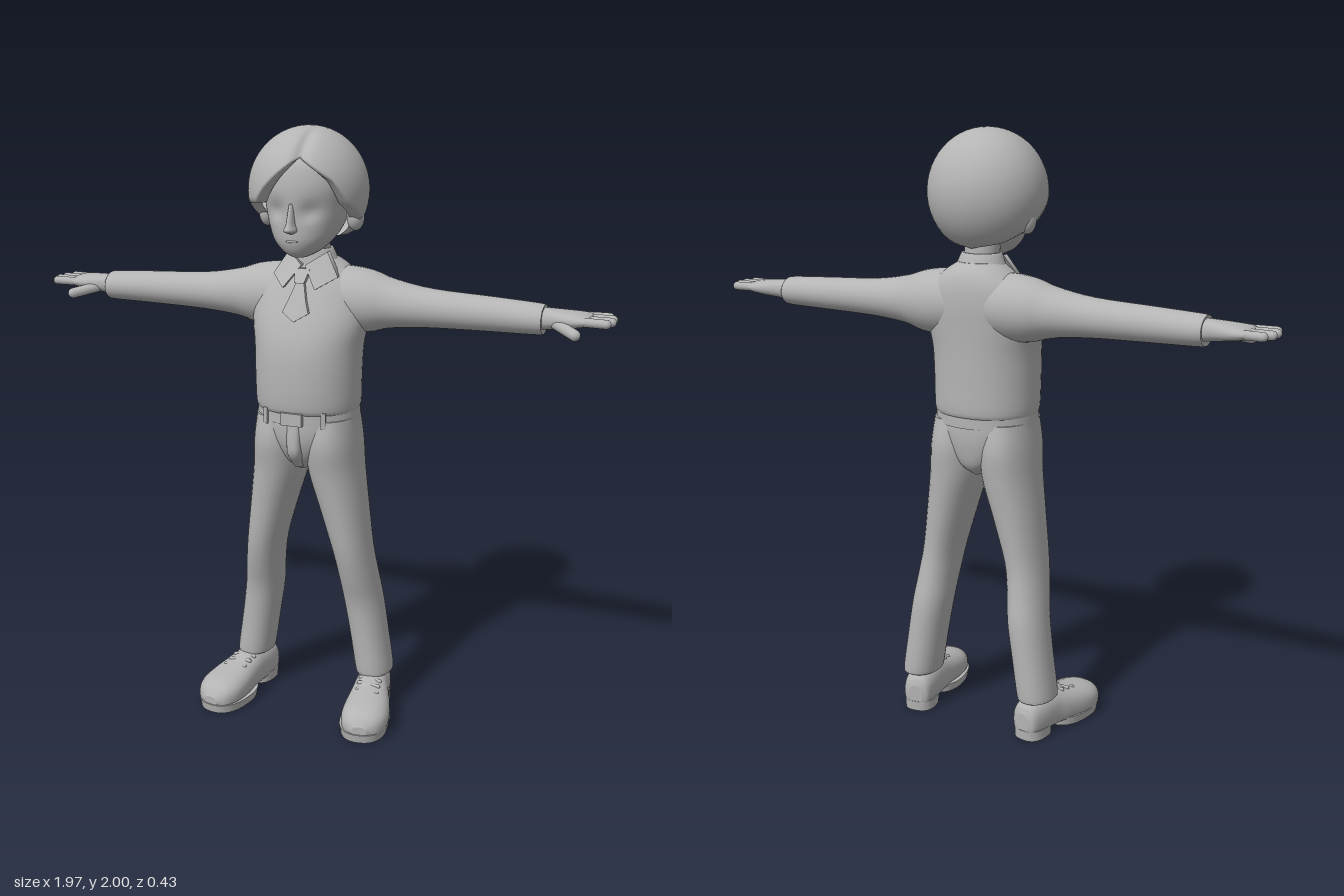
import * as THREE from 'three';

const V = (x, y, z) => new THREE.Vector3(x, y, z);
const lerp = THREE.MathUtils.lerp;

// Look up a row of a table whose first column ascends
function sample(table, t) {
  let i = 0;
  while (i < table.length - 2 && t > table[i + 1][0]) i++;
  const a = table[i], b = table[i + 1];
  const k = THREE.MathUtils.clamp((t - a[0]) / (b[0] - a[0]), 0, 1);
  return a.map((v, c) => lerp(v, b[c], k));
}

// Skin a list of closed rings of points
function skin(rings, caps = true) {
  const n = rings[0].length, pos = [], idx = [];
  for (const r of rings) for (const p of r) pos.push(p.x, p.y, p.z);
  for (let i = 0; i < rings.length - 1; i++) for (let j = 0; j < n; j++) {
    const a = i * n + j, c = i * n + (j + 1) % n;
    idx.push(a, a + n, c, a + n, c + n, c);
  }
  if (caps) [rings[0], rings[rings.length - 1]].forEach((ring, end) => {
    const base = pos.length / 3, mid = V(0, 0, 0);
    for (const p of ring) { pos.push(p.x, p.y, p.z); mid.addScaledVector(p, 1 / n); }
    pos.push(mid.x, mid.y, mid.z);
    for (let j = 0; j < n; j++) {
      const p = base + j, q = base + (j + 1) % n;
      if (end) idx.push(base + n, q, p); else idx.push(base + n, p, q);
    }
  });
  const g = new THREE.BufferGeometry();
  g.setAttribute('position', new THREE.Float32BufferAttribute(pos, 3));
  g.setIndex(idx);
  g.computeVertexNormals();
  return g;
}

// Loft rounded sections [t, centreU, centreV, radiusU, radiusV] along an axis
const PLACE = { y: (t, u, v) => V(u, t, v), x: (t, u, v) => V(t, v, u), z: (t, u, v) => V(v, u, t) };
function loft(axis, secs, power = 2, n = 32, rule = null) {
  const curves = [0, 1, 2, 3, 4].map(c => new THREE.CatmullRomCurve3(secs.map((s, i) => V(i, s[c], 0)), false, 'catmullrom', 0.5));
  const steps = (secs.length - 1) * 4, rings = [];
  for (let i = 0; i <= steps; i++) {
    const [t, cu, cv, ru, rv] = curves.map(c => c.getPoint(i / steps).y);
    rings.push(Array.from({ length: n }, (_, j) => {
      const a = j / n * Math.PI * 2, e = 2 / power;
      const f = w => Math.sign(w) * Math.abs(w) ** e;
      const p = PLACE[axis](t, cu + ru * f(Math.cos(a)), cv + rv * f(Math.sin(a)));
      if (rule) rule(p);
      return p;
    }));
  }
  return skin(rings);
}

function limb(a, b, r) {
  const d = b.clone().sub(a), g = new THREE.CapsuleGeometry(r, d.length(), 6, 12);
  g.applyQuaternion(new THREE.Quaternion().setFromUnitVectors(V(0, 1, 0), d.normalize()));
  const m = a.clone().lerp(b, 0.5);
  return g.translate(m.x, m.y, m.z);
}

function ball(x, y, z, rx, ry, rz) {
  return new THREE.SphereGeometry(1, 24, 16).scale(rx, ry, rz).translate(x, y, z);
}

function mirrored(g) {
  const m = (g.index ? g.toNonIndexed() : g.clone()).scale(-1, 1, 1);
  m.setIndex(Array.from({ length: m.attributes.position.count }, (_, i) => i - i % 3 + [0, 2, 1][i % 3]));
  return m;
}

// Sweater body: height, centre x, centre z, half width, half depth
const TORSO = [
  [1.085, 0, -0.025, 0.163, 0.138], [1.105, 0, -0.023, 0.175, 0.153], [1.2, 0, -0.021, 0.178, 0.156],
  [1.3, 0, -0.025, 0.182, 0.153], [1.38, 0, -0.038, 0.195, 0.143], [1.45, 0, -0.055, 0.19, 0.129],
  [1.51, 0, -0.068, 0.165, 0.112], [1.555, 0, -0.075, 0.115, 0.09], [1.585, 0, -0.068, 0.07, 0.068],
];
function chestZ(x, y) {
  const [, , cz, rx, rz] = sample(TORSO, y);
  return cz + rz * Math.sqrt(Math.max(0, 1 - (x / rx) ** 2));
}

// Lower edge of the hair by azimuth in degrees, 0 at the front
const HAIR_EDGE = [
  [-180, 1.63], [-130, 1.65], [-105, 1.68], [-85, 1.72], [-70, 1.76], [-50, 1.765], [-35, 1.77], [-25, 1.81],
  [-10, 1.86], [5, 1.9], [12, 1.915], [25, 1.885], [45, 1.84], [60, 1.77], [80, 1.73], [105, 1.68], [130, 1.65], [180, 1.63],
];
function hairGeometry() {
  const cols = 90, rows = 20, rings = [];
  for (let i = 0; i <= rows + 1; i++) rings.push(Array.from({ length: cols }, (_, j) => {
    const deg = j / cols * 360 - 180, a = deg * Math.PI / 180, inner = i > rows;
    const end = Math.acos((sample(HAIR_EDGE, deg)[1] - 1.8) / 0.2);
    const p = Math.max(0.001, end * Math.min(i / rows, 1)), s = Math.sin(p);
    const depth = Math.cos(a) > 0 ? 0.208 : 0.185;
    const x = 0.193 * s * Math.sin(a), z = depth * s * Math.cos(a);
    // parting groove running over the front of the crown
    const groove = 1 - 0.1 * Math.exp(-(((x - 0.035) / 0.018) ** 2)) * THREE.MathUtils.smoothstep(z, -0.03, 0.12);
    const k = groove * (inner ? 0.8 : 1);
    return V(x * k, 1.8 + 0.2 * Math.cos(p) * (inner ? 1 : lerp(1, groove, 0.4)), z * k - 0.025);
  }));
  return skin(rings, false);
}

export function createModel() {
  const model = new THREE.Group();
  const grey = new THREE.MeshStandardMaterial({ color: 0xb4b4b4, side: THREE.DoubleSide });
  grey.name = 'plain grey';
  const add = (name, g) => {
    const mesh = new THREE.Mesh(g, grey);
    mesh.name = name;
    model.add(mesh);
  };
  const pair = (name, g) => { add(name + 'Left', g); add(name + 'Right', mirrored(g)); };

  // Head with eye hollows
  add('face', loft('y', [
    [1.598, 0, 0.05, 0.025, 0.035], [1.615, 0, 0.038, 0.058, 0.07], [1.65, 0, 0.018, 0.094, 0.105],
    [1.7, 0, -0.008, 0.12, 0.134], [1.76, 0, -0.018, 0.135, 0.147], [1.83, 0, -0.02, 0.148, 0.15],
    [1.9, 0, -0.02, 0.125, 0.13], [1.95, 0, -0.02, 0.06, 0.07],
  ], 2, 64, p => {
    if (p.z > 0) p.z -= 0.016 * Math.exp(-(((Math.abs(p.x) - 0.055) / 0.03) ** 2) - ((p.y - 1.745) / 0.025) ** 2);
  }));
  add('nose', loft('y', [
    [1.676, 0, 0.115, 0.006, 0.012], [1.688, 0, 0.125, 0.02, 0.038], [1.71, 0, 0.122, 0.014, 0.032],
    [1.77, 0, 0.115, 0.008, 0.018],
  ], 2, 16));
  add('mouth', ball(0, 1.653, 0.113, 0.028, 0.006, 0.013));
  pair('ear', ball(0.152, 1.718, -0.04, 0.028, 0.043, 0.032));
  add('hair', hairGeometry());
  add('neck', loft('y', [[1.53, 0, -0.06, 0.06, 0.06], [1.6, 0, -0.058, 0.056, 0.058], [1.68, 0, -0.05, 0.06, 0.06]]));

  // Sweater, collar and tie
  add('sweaterBody', loft('y', TORSO, 2.15, 48));
  pair('sleeve', loft('x', [
    [0.03, -0.072, 1.45, 0.1, 0.1], [0.12, -0.074, 1.447, 0.106, 0.109], [0.2, -0.075, 1.445, 0.099, 0.1],
    [0.27, -0.073, 1.443, 0.082, 0.08], [0.4, -0.07, 1.438, 0.064, 0.063], [0.6, -0.07, 1.435, 0.058, 0.055],
    [0.75, -0.068, 1.432, 0.057, 0.049], [0.764, -0.068, 1.432, 0.05, 0.043],
  ]));
  add('collarBand', loft('y', [[1.535, 0, -0.07, 0.1, 0.083], [1.575, 0, -0.064, 0.082, 0.072], [1.61, 0, -0.06, 0.067, 0.062], [1.613, 0, -0.06, 0.058, 0.056]]));
  const flapRing = d => [V(0.006, 1.565, 0.026 + d), V(0.055, 1.495, 0.066 + d), V(0.112, 1.53, 0.006 + d), V(0.066, 1.605, -0.018 + d)];
  pair('collarFlap', skin([flapRing(0.004), flapRing(-0.02)].reverse()).toNonIndexed());
  const drape = pts => {
    const g = new THREE.ExtrudeGeometry(new THREE.Shape(pts.map(p => new THREE.Vector2(...p))), { depth: 0.02, bevelEnabled: false });
    const p = g.attributes.position;
    for (let i = 0; i < p.count; i++) p.setZ(i, p.getZ(i) + chestZ(p.getX(i), p.getY(i)) - 0.006);
    g.computeVertexNormals();
    return g;
  };
  add('tieKnot', drape([[-0.016, 1.512], [0.016, 1.512], [0.026, 1.555], [-0.026, 1.555]]).translate(0, 0, 0.008));
  add('tieBlade', drape([[0, 1.395], [0.045, 1.422], [0.03, 1.46], [0.012, 1.518], [-0.012, 1.518], [-0.03, 1.46], [-0.045, 1.422]]));

  // Hands
  pair('palm', loft('x', [
    [0.74, -0.07, 1.434, 0.042, 0.036], [0.79, -0.07, 1.436, 0.046, 0.032], [0.85, -0.074, 1.438, 0.062, 0.026],
    [0.89, -0.076, 1.44, 0.066, 0.02], [0.91, -0.076, 1.44, 0.06, 0.012],
  ], 2.3, 24));
  [[-0.129, 0.953], [-0.094, 0.969], [-0.057, 0.971], [-0.022, 0.961]].forEach(([z, tip], i) =>
    pair('finger' + (i + 1), limb(V(0.875, 1.441, lerp(z, -0.075, 0.1)), V(tip, 1.441, z), 0.0145)));
  pair('thumb', limb(V(0.8, 1.428, -0.045), V(0.875, 1.408, 0.016), 0.018));

  // Trousers
  add('hips', loft('y', [
    [0.885, 0, -0.03, 0.02, 0.075], [0.92, 0, -0.03, 0.075, 0.115], [0.98, 0, -0.025, 0.14, 0.136],
    [1.04, 0, -0.024, 0.169, 0.142], [1.11, 0, -0.024, 0.167, 0.138],
  ], 2.2, 40));
  pair('trouserLeg', loft('y', [
    [0.135, 0.226, -0.082, 0.056, 0.076], [0.145, 0.226, -0.082, 0.063, 0.083], [0.27, 0.207, -0.08, 0.064, 0.083],
    [0.4, 0.187, -0.073, 0.065, 0.087], [0.5, 0.174, -0.052, 0.063, 0.093], [0.6, 0.158, -0.036, 0.064, 0.1],
    [0.75, 0.127, -0.032, 0.077, 0.114], [0.88, 0.1, -0.03, 0.089, 0.128], [0.98, 0.093, -0.026, 0.088, 0.139],
    [1.07, 0.09, -0.024, 0.08, 0.125],
  ], 2.15));
  add('belt', loft('y', [[1.055, 0, -0.024, 0.173, 0.146], [1.095, 0, -0.024, 0.172, 0.146]], 2.15, 48));
  add('buckle', new THREE.BoxGeometry(0.075, 0.042, 0.02).translate(0, 1.077, 0.126));
  pair('beltLoop', new THREE.BoxGeometry(0.016, 0.055, 0.016).rotateY(0.35).translate(0.1, 1.075, 0.1));
  add('fly', loft('y', [[0.9, 0, 0.05, 0.015, 0.03], [0.95, 0, 0.08, 0.025, 0.042], [1.0, 0, 0.09, 0.026, 0.037], [1.055, 0, 0.09, 0.026, 0.033]], 3, 24));

  // Shoes, turned slightly outward about the ankle
  const shoe = (name, g) => pair(name, g.rotateY(0.17).translate(0.226, 0, -0.082));
  shoe('shoeUpper', loft('z', [
    [-0.084, 0.06, 0, 0.035, 0.025], [-0.07, 0.065, 0, 0.06, 0.046], [-0.02, 0.07, 0, 0.07, 0.056],
    [0.05, 0.07, 0, 0.072, 0.06], [0.1, 0.065, 0.003, 0.066, 0.068], [0.17, 0.055, 0.005, 0.062, 0.079],
    [0.23, 0.05, 0.005, 0.056, 0.079], [0.275, 0.045, 0.003, 0.044, 0.06], [0.298, 0.042, 0, 0.016, 0.025],
  ], 2.4, 32, p => { p.y = Math.max(p.y, 0.024); }));
  shoe('shoeSole', loft('y', [[0, 0, 0.183, 0.079, 0.115], [0.03, 0, 0.183, 0.084, 0.12]], 2.4));
  shoe('shoeHeel', loft('y', [[0, 0, -0.022, 0.053, 0.062], [0.035, 0, -0.022, 0.054, 0.064]], 2.6));
  shoe('shoeTongue', loft('z', [[0.04, 0.12, 0, 0.022, 0.036], [0.09, 0.118, 0, 0.018, 0.036], [0.15, 0.105, 0, 0.014, 0.03]], 2.5, 20));
  [[0.085, 0.135], [0.115, 0.13], [0.145, 0.121]].forEach(([z, y], i) =>
    shoe('shoelace' + (i + 1), limb(V(-0.034, y - 0.008, z - 0.008), V(0.034, y - 0.008, z + 0.008), 0.008)));
  return model;
}
